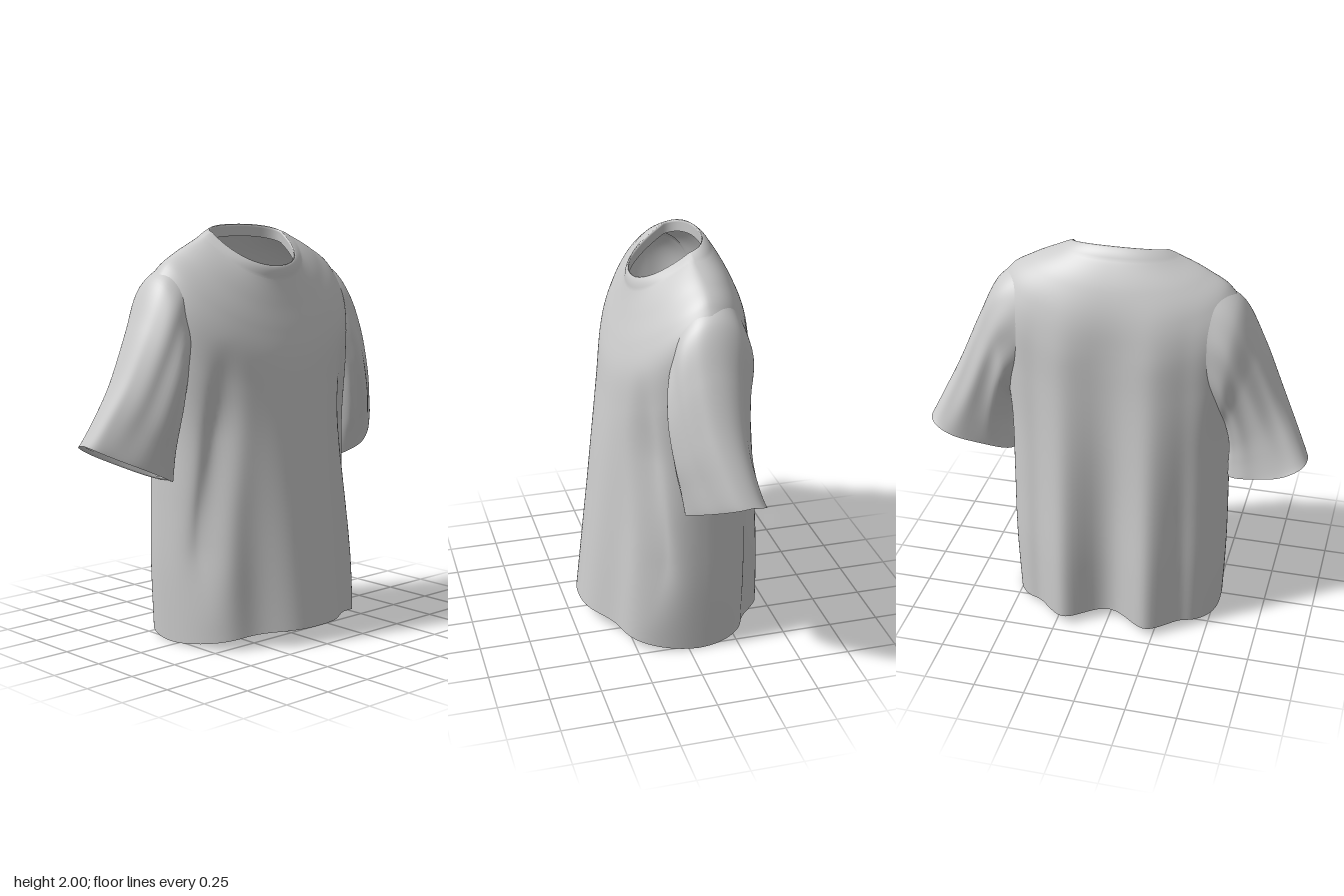
import * as THREE from 'three';

const cloth = new THREE.MeshStandardMaterial({ color: 0xcccccc, side: THREE.DoubleSide });

// Closed-ring loft: point(t, a) gives [x, y, z] for t 0..1 down the part, a around it
function loft(name, rows, segs, point) {
  const pos = [], idx = [];
  for (let i = 0; i <= rows; i++) {
    for (let j = 0; j < segs; j++) pos.push(...point(i / rows, (j / segs) * Math.PI * 2));
  }
  for (let i = 0; i < rows; i++) {
    for (let j = 0; j < segs; j++) {
      const a = i * segs + j, b = i * segs + ((j + 1) % segs);
      idx.push(a, a + segs, b, b, a + segs, b + segs);
    }
  }
  const geo = new THREE.BufferGeometry();
  geo.setAttribute('position', new THREE.Float32BufferAttribute(pos, 3));
  geo.setIndex(idx);
  geo.computeVertexNormals();
  const mesh = new THREE.Mesh(geo, cloth);
  mesh.name = name;
  return mesh;
}

// Smooth interpolation through rows of parameters
function sample(table, t) {
  const n = table.length - 1, s = Math.min(Math.max(t, 0), 1) * n;
  const i = Math.min(Math.floor(s), n - 1), f = s - i;
  const row = (k) => table[Math.min(Math.max(k, 0), n)];
  return row(i).map((p1, c) => {
    const p0 = row(i - 1)[c], p2 = row(i + 1)[c], p3 = row(i + 2)[c];
    return 0.5 * (2 * p1 + (p2 - p0) * f + (2 * p0 - 5 * p1 + 4 * p2 - p3) * f * f
      + (3 * p1 - p0 - 3 * p2 + p3) * f * f * f);
  });
}

const bump = (x, c, w) => Math.exp(-(((x - c) / w) ** 2));
const spow = (v, p) => Math.sign(v) * Math.abs(v) ** p;
const smooth = THREE.MathUtils.smoothstep;

// Body rings: half width, side y, side z, front z, front y, back z, back y,
// front squareness, back squareness
const BODY = [
  [0.225, 1.965, -0.07, 0.155, 1.81, -0.175, 2.0, 2.2, 2.2],
  [0.30, 1.935, -0.07, 0.175, 1.73, -0.23, 1.935, 2.1, 2.2],
  [0.42, 1.88, -0.08, 0.21, 1.62, -0.29, 1.825, 2.1, 2.3],
  [0.525, 1.812, -0.08, 0.25, 1.50, -0.335, 1.69, 2.1, 2.4],
  [0.585, 1.69, -0.08, 0.285, 1.37, -0.355, 1.53, 2.1, 2.5],
  [0.57, 1.42, -0.07, 0.31, 1.20, -0.365, 1.30, 2.1, 2.5],
  [0.54, 1.08, -0.06, 0.34, 0.98, -0.38, 1.0, 2.1, 2.5],
  [0.54, 0.72, -0.05, 0.375, 0.68, -0.39, 0.70, 2.15, 2.5],
  [0.54, 0.36, -0.05, 0.41, 0.38, -0.40, 0.37, 2.25, 2.5],
  [0.525, 0.0, -0.05, 0.445, 0.08, -0.40, 0.045, 2.3, 2.5],
];

function bodyPoint(t, a) {
  const [w, ys, zs, zf, yf, zb, yb, nf, nb] = sample(BODY, t);
  const front = Math.cos(a) > 0;
  const n = front ? nf : nb;
  const k = Math.abs(Math.cos(a)) ** (2 / n);
  const x = w * spow(Math.sin(a), 2 / n), ax = Math.abs(x);
  // Rings bend softly over the shoulder line, straight at the neck
  const soft = 1 + 0.45 * smooth(t, 0, 0.2);
  const y = ys + ((front ? yf : yb) - ys) * k ** soft;
  let z = zs + ((front ? zf : zb) - zs) * k;
  // Drape folds deepen toward the hem
  const drape = 1 - smooth(y, 0.0, 1.65);
  if (front) {
    z -= 0.07 * drape * bump(ax, 0.3, 0.13) * k;
    const crease = smooth(y, 0.1, 0.5) * (1 - smooth(y, 1.0, 1.5));
    z -= 0.055 * crease * bump(ax, 0.51 - 0.11 * smooth(y, 0.2, 1.2), 0.06) * Math.min(1, k * 2);
  } else {
    const back = 0.25 * smooth(1.85 - y, 0, 0.4) + 0.75 * drape;
    z += back * k * (0.07 * bump(ax, 0, 0.11) - 0.06 * bump(ax, 0.22, 0.09));
    z += 0.02 * back * k * bump(ax, 0.37, 0.05);
  }
  return [x, y, z];
}

// Copy of a body ring moved sideways toward or away from the body axis
function offsetPoint(t, a, out, dy = 0) {
  const [x, y, z] = bodyPoint(t, a);
  const zc = -0.04, r = Math.hypot(x, z - zc);
  return [x * (1 + out / r), y + dy, zc + (z - zc) * (1 + out / r)];
}

// Sleeve rings: top x, top y, underside x, underside y, front z, back z
const SLEEVE = [
  [0.45, 1.835, 0.45, 1.24, 0.07, -0.285],
  [0.585, 1.75, 0.50, 1.16, 0.115, -0.285],
  [0.69, 1.545, 0.525, 1.08, 0.13, -0.24],
  [0.795, 1.30, 0.54, 0.97, 0.115, -0.21],
  [0.875, 1.13, 0.54, 0.88, 0.09, -0.20],
  [0.94, 0.995, 0.54, 0.80, 0.07, -0.20],
];

function sleevePoint(side, t, a, shrink = 1) {
  const [tx, ty, bx, by, zf, zb] = sample(SLEEVE, t);
  const square = 1 - 0.18 * t;
  const c = spow(Math.cos(a), square) * shrink, s = spow(Math.sin(a), square) * shrink;
  // Lengthwise folds, fading out at the crown and underside lines
  const fold = 1 + 0.05 * smooth(t, 0.1, 0.9) * (Math.cos(4 * a) - 1)
    + 0.04 * Math.sin(Math.PI * t) * Math.sin(9 * a) * Math.abs(s);
  const x = (tx + bx) / 2 + ((tx - bx) / 2) * c;
  const y = (ty + by) / 2 + ((ty - by) / 2) * c - 0.015 * t * Math.abs(s);
  // The outer edge swings backward toward the cuff
  const swing = 0.085 * t * t * smooth(c, -0.5, 0.9);
  const z = (zf + zb) / 2 + ((zf - zb) / 2) * s * fold - swing - 0.02 * t * c;
  return [side * x, y, z];
}

export function createModel() {
  const shirt = new THREE.Group();
  shirt.name = 'tShirt';

  shirt.add(loft('body', 90, 144, bodyPoint));

  // Ribbed neckband: inner facing, rounded rim, outer band
  shirt.add(loft('neckband', 16, 96, (t, a) => {
    if (t < 0.4) return offsetPoint(0, a, -0.004 + 0.01 * (0.4 - t), -0.15 * (0.4 - t));
    const u = (t - 0.4) / 0.6;
    return offsetPoint(u * 0.1, a, 0.005 * Math.sin(Math.PI * Math.min(u * 1.1, 1)));
  }));

  // Turned-up hem inside the bottom edge
  shirt.add(loft('bottomHem', 3, 144, (t, a) => offsetPoint(1 - 0.015 * t, a, -0.008 * Math.min(1, t * 3))));

  // Sleeves and their turned-in cuffs
  for (const side of [1, -1]) {
    const label = side > 0 ? 'left' : 'right';
    const dir = -side;
    // Angle runs the other way on the mirrored side so faces keep pointing outward
    shirt.add(loft(label + 'Sleeve', 48, 80, (t, a) => sleevePoint(side, t, a * dir)));
    shirt.add(loft(label + 'Cuff', 3, 80, (t, a) =>
      sleevePoint(side, 1 - 0.04 * t, a * dir, 1 - 0.04 * Math.min(1, t * 3))));
  }
  return shirt;
}
